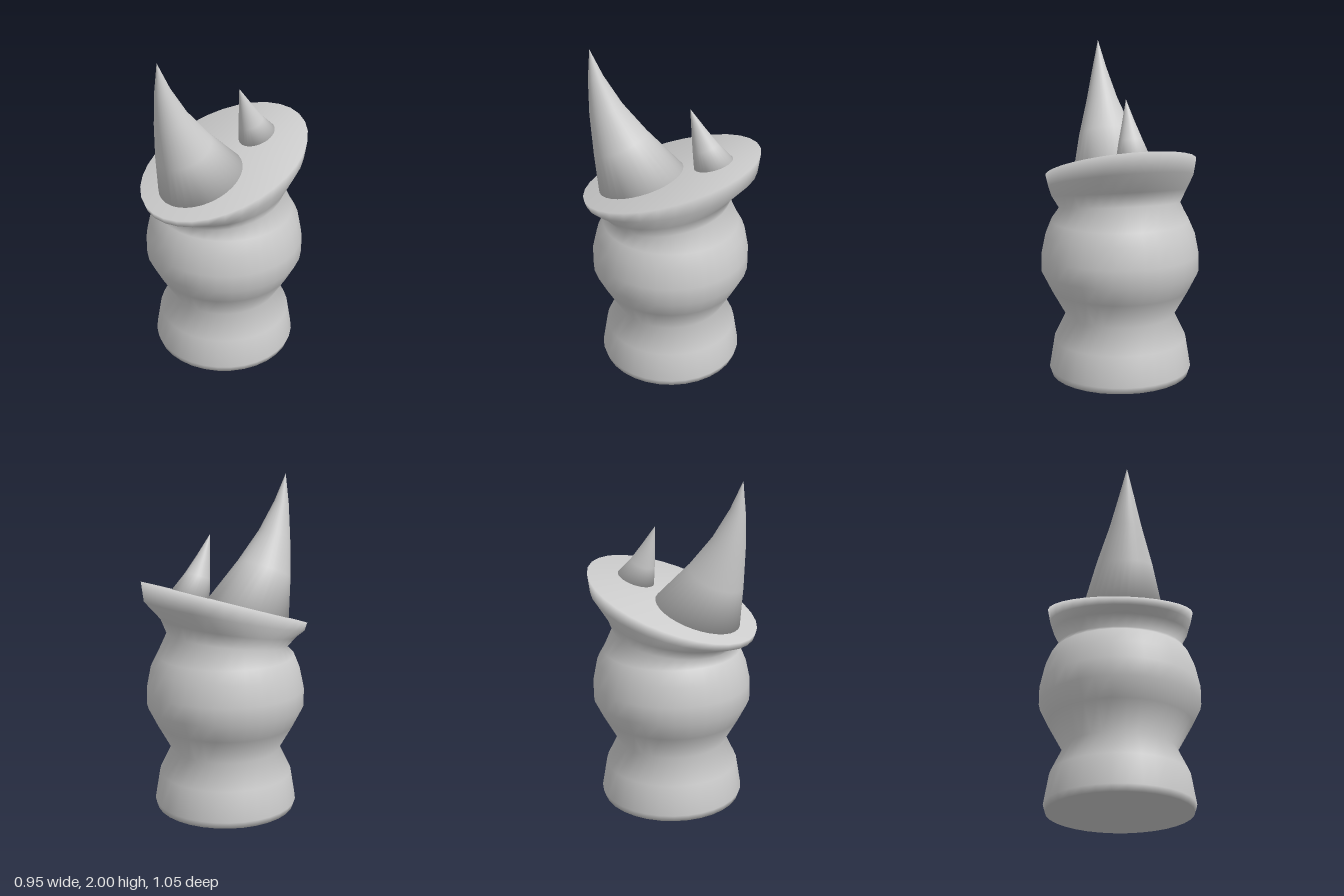
import * as THREE from 'three';

const SEGMENTS = 32;
const material = new THREE.MeshStandardMaterial({ color: 0xcccccc });

// Closed loft through tilted elliptical rings, each given as
// [front z, front y, back z, back y, half width]; the ends are capped by a fan.
function loft(name, rings) {
  const positions = [];
  const index = [];
  const centre = ([zf, yf, zb, yb]) => [0, (yf + yb) / 2, (zf + zb) / 2];

  for (const ring of rings) {
    const [zf, yf, zb, yb, rx] = ring;
    const [, cy, cz] = centre(ring);
    for (let j = 0; j < SEGMENTS; j++) {
      const a = (j / SEGMENTS) * Math.PI * 2;
      const c = Math.cos(a);
      positions.push(rx * Math.sin(a), cy + (c * (yf - yb)) / 2, cz + (c * (zf - zb)) / 2);
    }
  }
  const last = (rings.length - 1) * SEGMENTS;
  const bottom = positions.length / 3;
  const top = bottom + 1;
  positions.push(...centre(rings[0]), ...centre(rings[rings.length - 1]));

  for (let j = 0; j < SEGMENTS; j++) {
    const k = (j + 1) % SEGMENTS;
    for (let row = 0; row < last; row += SEGMENTS) {
      const up = row + SEGMENTS;
      index.push(row + j, row + k, up + k, row + j, up + k, up + j);
    }
    index.push(bottom, k, j, top, last + j, last + k);
  }

  const geometry = new THREE.BufferGeometry();
  geometry.setAttribute('position', new THREE.Float32BufferAttribute(positions, 3));
  geometry.setIndex(index);
  geometry.computeVertexNormals();
  const mesh = new THREE.Mesh(geometry, material);
  mesh.name = name;
  return mesh;
}

const level = (y, r) => [r, y, -r, y, r];

export function createModel() {
  const model = new THREE.Group();
  model.name = 'hornedPiece';

  // Round foot, waist and belly, then a tilted neck flaring into a slanted oval top
  model.add(loft('body', [
    level(0, 0.42),
    level(0.04, 0.433),
    level(0.22, 0.403),
    level(0.37, 0.33),
    level(0.53, 0.42),
    level(0.64, 0.475),
    level(0.75, 0.475),
    [0.45, 0.86, -0.45, 0.88, 0.45],
    [0.41, 0.955, -0.41, 0.95, 0.415],
    [0.37, 0.985, -0.35, 1.09, 0.365],
    [0.43, 1.04, -0.385, 1.18, 0.405],
    [0.51, 1.055, -0.51, 1.31, 0.425],
    [0.525, 1.095, -0.525, 1.43, 0.44],
  ]));

  // Large curved horn near the front
  model.add(loft('largeHorn', [
    [0.43, 1.125, -0.075, 1.285, 0.235],
    [0.455, 1.37, 0.14, 1.5, 0.165],
    [0.473, 1.61, 0.28, 1.67, 0.095],
    [0.474, 1.82, 0.385, 1.84, 0.043],
    [0.46, 2, 0.46, 2, 0],
  ]));

  // Small curved horn near the back
  model.add(loft('smallHorn', [
    [-0.14, 1.305, -0.365, 1.38, 0.1],
    [-0.13, 1.42, -0.275, 1.47, 0.07],
    [-0.122, 1.535, -0.2, 1.565, 0.037],
    [-0.113, 1.68, -0.113, 1.68, 0],
  ]));

  return model;
}
